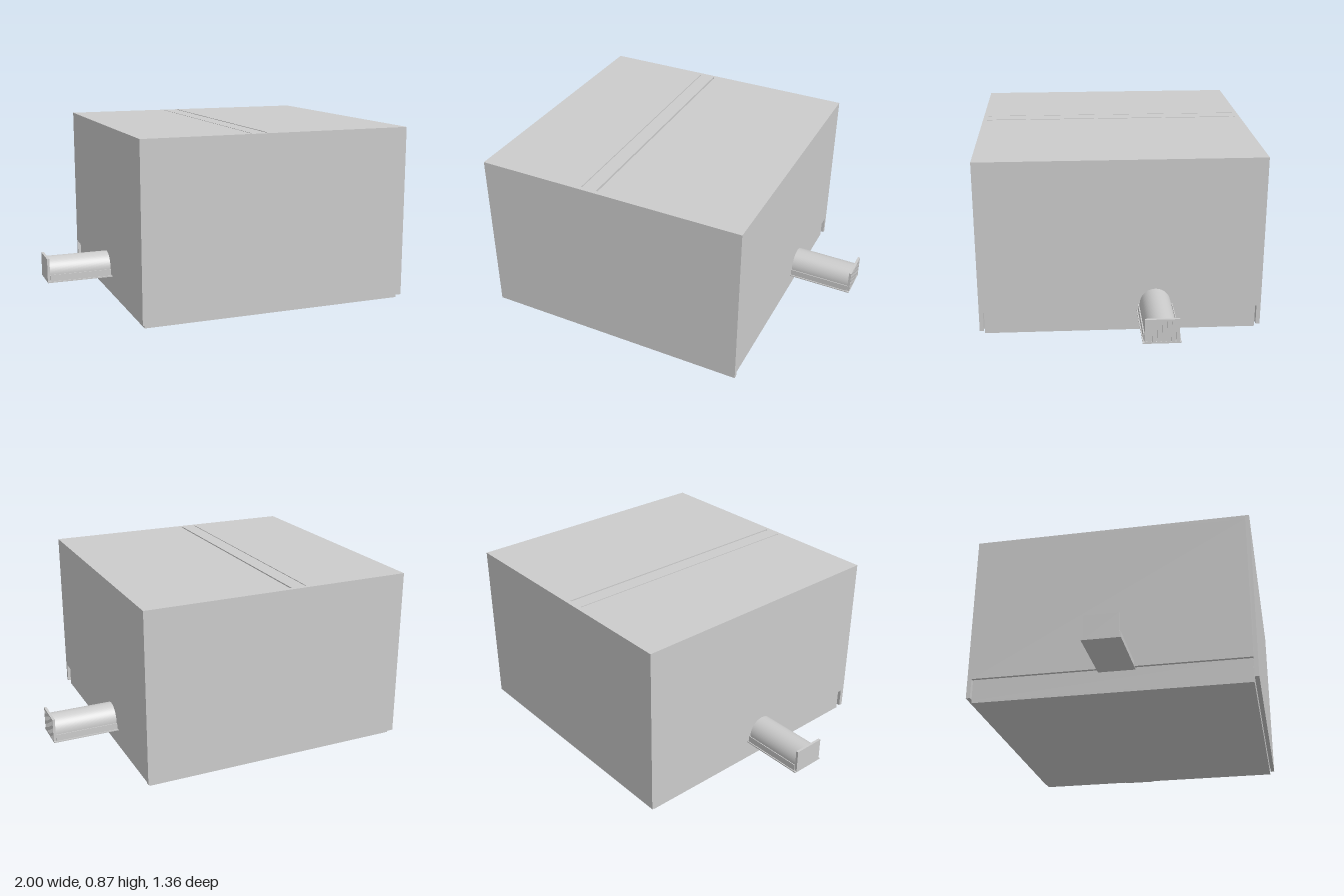
import * as THREE from 'three';

const grey = new THREE.MeshStandardMaterial({ color: 0xcccccc, side: THREE.DoubleSide });

function add(parent, name, geometry) {
  const mesh = new THREE.Mesh(geometry, grey);
  mesh.name = name;
  parent.add(mesh);
  return mesh;
}

// Box given by its minimum and maximum corners
function slab(parent, name, x0, x1, y0, y1, z0, z1) {
  const mesh = add(parent, name, new THREE.BoxGeometry(x1 - x0, y1 - y0, z1 - z0));
  mesh.position.set((x0 + x1) / 2, (y0 + y1) / 2, (z0 + z1) / 2);
  return mesh;
}

const rect = (P, x0, x1, y0, y1) => new P([
  new THREE.Vector2(x0, y0), new THREE.Vector2(x1, y0),
  new THREE.Vector2(x1, y1), new THREE.Vector2(x0, y1),
]);

const X0 = -0.68, X1 = 0.675, Z = 0.68, T = 0.02, TOP = 0.87, LOW = 0.02, NOTCH = 0.117;

// Cover: front and back walls, notched side walls, slotted top
function makeCover() {
  const cover = new THREE.Group();
  cover.name = 'cover';
  slab(cover, 'frontWall', X0, X1, LOW, TOP, Z - T, Z);
  slab(cover, 'backWall', X0, X1, LOW, TOP, -Z, -Z + T);
  slab(cover, 'rightWall', X0, X0 + T, NOTCH, TOP - T, -Z + T, Z - T);
  slab(cover, 'leftWall', X1 - T, X1, NOTCH, TOP - T, -Z + T, Z - T);

  const shape = rect(THREE.Shape, X0, X1, -Z + T, Z - T);
  shape.holes.push(rect(THREE.Path, -0.144, -0.139, -0.658, 0.658));
  shape.holes.push(rect(THREE.Path, -0.065, -0.056, -0.658, 0.658));
  const panel = add(cover, 'slottedTop', new THREE.ExtrudeGeometry(shape, { depth: T, bevelEnabled: false }));
  panel.rotation.x = -Math.PI / 2;
  panel.position.y = TOP - T;
  return cover;
}

// Base tray that the cover drops over
function makeBase() {
  const base = new THREE.Group();
  base.name = 'baseTray';
  const a = -0.665, b = 0.66, z = 0.657;
  slab(base, 'floor', a, b, 0, 0.012, -z, z);
  for (const [x0, x1] of [[a, a + 0.012], [b - 0.012, b]])
    slab(base, 'traySide', x0, x1, 0.012, NOTCH, -z, z);
  return base;
}

// Sliding arm reaching out along +x, centred on z = 0
function makeArm(reach, ribbed) {
  const arm = new THREE.Group();
  arm.name = 'arm';
  const inner = 0.6, plate = 0.012, bottom = 0.106;

  // Half barrel on top of the carrier
  const barrel = new THREE.Shape();
  barrel.moveTo(-0.074, 0.125);
  barrel.lineTo(0.074, 0.125);
  barrel.lineTo(0.074, 0.146);
  barrel.absellipse(0, 0.146, 0.074, 0.076, 0, Math.PI, false);
  barrel.closePath();
  const mesh = add(arm, 'barrel', new THREE.ExtrudeGeometry(barrel,
    { depth: reach - plate - inner, bevelEnabled: false, curveSegments: 32 }));
  mesh.rotation.y = Math.PI / 2;
  mesh.position.x = inner;

  slab(arm, 'carrierFloor', inner, reach, bottom, 0.112, -0.088, 0.088);
  slab(arm, 'carrierBlock', inner, reach - plate, 0.112, 0.125, -0.078, 0.078);
  for (const s of [-1, 1])
    slab(arm, 'carrierLip', inner, reach - plate, 0.112, 0.144, s * 0.081 - 0.002, s * 0.081 + 0.002);

  // End plate, with upright grip ribs where wanted
  const face = ribbed ? reach - 0.006 : reach;
  slab(arm, 'endPlate', reach - plate, face, bottom, 0.226, -0.079, 0.079);
  if (ribbed) {
    slab(arm, 'gripBorder', face, reach, 0.216, 0.226, -0.079, 0.079);
    slab(arm, 'gripBorder', face, reach, bottom, 0.115, -0.079, 0.079);
    const grooves = [...Array(7).keys()].map((i) => 0.07 - i * 0.022);
    let z = 0.079;
    for (const g of [...grooves, -0.082]) {
      slab(arm, 'gripRib', face, reach, 0.115, 0.216, g + 0.003, z);
      z = g - 0.003;
    }
  }
  return arm;
}

export function createModel() {
  const model = new THREE.Group();
  model.name = 'boxWithSlidingArms';
  model.add(makeCover(), makeBase());

  const leftArm = makeArm(0.998, true);
  leftArm.name = 'leftArm';
  leftArm.position.z = -0.165;

  const rightArm = makeArm(1, false);
  rightArm.name = 'rightArm';
  rightArm.rotation.y = Math.PI;
  rightArm.position.z = 0.035;

  model.add(leftArm, rightArm);
  return model;
}
